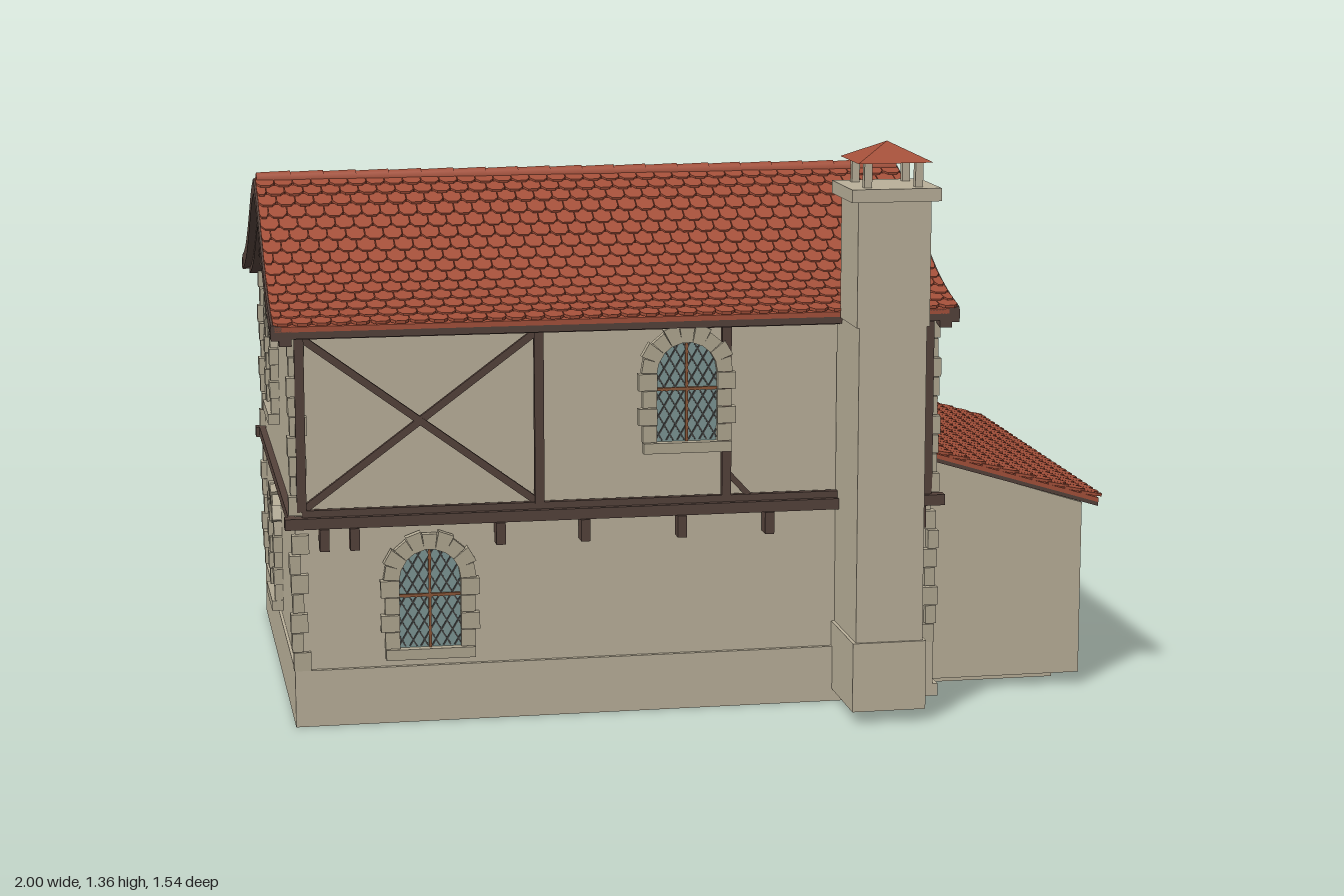
import * as THREE from 'three';
import { mergeGeometries } from 'three/addons/utils/BufferGeometryUtils.js';

const V2 = (x, y) => new THREE.Vector2(x, y);
const paint = (name, color) => Object.assign(new THREE.MeshStandardMaterial({ color }), { name });

export function createModel() {
  const plaster = paint('plaster', 0xb9af99), stone = paint('stone', 0xb0a791), tile = paint('roof tile', 0xa4503a);
  const timber = paint('timber', 0x54423b), wood = paint('door wood', 0x83502f), dark = paint('dark wood', 0x593f38);
  const deck = paint('deck boards', 0x85583c), glass = paint('glass', 0x7c9694), iron = paint('iron', 0x40403f);
  const frame = paint('window frame', 0x8a5638);
  const house = new THREE.Group();
  house.name = 'house';

  // ---- helpers ----
  const add = (parent, name, geo, mat, x = 0, y = 0, z = 0) => {
    const m = new THREE.Mesh(geo, mat);
    m.name = name;
    m.position.set(x, y, z);
    parent.add(m);
    return m;
  };
  const group = (parent, name, x = 0, y = 0, z = 0, ry = 0) => {
    const g = new THREE.Group();
    g.name = name;
    g.position.set(x, y, z);
    g.rotation.y = ry;
    parent.add(g);
    return g;
  };
  // box given by its limits
  const span = (parent, name, mat, x0, x1, y0, y1, z0, z1) =>
    add(parent, name, new THREE.BoxGeometry(x1 - x0, y1 - y0, z1 - z0), mat, (x0 + x1) / 2, (y0 + y1) / 2, (z0 + z1) / 2);
  // straight bar between two points of a wall plane
  const bar = (parent, name, mat, x0, y0, x1, y1, t, z0, z1) => {
    const m = add(parent, name, new THREE.BoxGeometry(Math.hypot(x1 - x0, y1 - y0), t, z1 - z0), mat,
      (x0 + x1) / 2, (y0 + y1) / 2, (z0 + z1) / 2);
    m.rotation.z = Math.atan2(y1 - y0, x1 - x0);
    return m;
  };
  const extrude = (pts, depth) => new THREE.ExtrudeGeometry(new THREE.Shape(pts), { depth, bevelEnabled: false });
  // (z, y) profile extruded along x from x0 to x1
  const alongX = (pts, x0, x1) => extrude(pts, x1 - x0).rotateY(Math.PI / 2).translate(x0, 0, 0);

  // ---- main roof curve: distance from ridge, height ----
  const slope = new THREE.SplineCurve([V2(0, 1.222), V2(0.1, 1.182), V2(0.2, 1.122), V2(0.3, 1.062), V2(0.4, 1.012),
    V2(0.5, 0.977), V2(0.6, 0.953)]);
  const half = slope.getPoints(18);
  const ridgeLine = [...half.slice(1).reverse().map(p => V2(-p.x, p.y)), ...half];
  const band = (pts, top, bottom) => [...pts.map(p => V2(p.x, p.y + top)), ...pts.slice().reverse().map(p => V2(p.x, p.y + bottom))];

  // staggered shingles over a slope curve, width along x, falling towards +z
  const shingles = (curve, width, rows, cols) => {
    const step = curve.getLength() / rows, w = width / cols, l = step * 1.25, list = [];
    const one = extrude([V2(-0.48 * w, 0), V2(-0.48 * w, -0.72 * l), V2(-0.25 * w, -l), V2(0.25 * w, -l), V2(0.48 * w, -0.72 * l), V2(0.48 * w, 0)], 0.007)
      .rotateX(-Math.PI / 2 - 0.1);
    for (let r = 0; r < rows; r++) {
      const u = r / rows, p = curve.getPointAt(u), t = curve.getTangentAt(Math.min(1, u + 0.4 / rows));
      for (let c = 0; c <= cols - 1 + (r % 2); c++) {
        const a = Math.max(0, c - (r % 2) / 2), b = Math.min(cols, c + 1 - (r % 2) / 2);
        const m = new THREE.Matrix4().makeBasis(new THREE.Vector3(b - a, 0, 0), new THREE.Vector3(0, t.x, -t.y), new THREE.Vector3(0, t.y, t.x));
        m.setPosition((a + b) / 2 * w - width / 2, p.y, p.x);
        list.push(one.clone().applyMatrix4(m));
      }
    }
    return mergeGeometries(list);
  };

  // ---- walls ----
  const inner = ridgeLine.filter(p => Math.abs(p.x) < 0.557).map(p => V2(p.x, p.y - 0.02));
  add(house, 'mainWalls', alongX([V2(-0.557, 0.01), V2(0.557, 0.01), ...inner.reverse()], -0.945, 0.575), plaster, 0, 0, -0.021);
  span(house, 'plinth', plaster, -0.952, 0.582, 0.03, 0.135, -0.588, 0.544);
  span(house, 'foundation', plaster, -0.952, 0.595, 0, 0.03, -0.6, 0.544);
  add(house, 'annexWalls', extrude([V2(0.56, 0.03), V2(0.962, 0.03), V2(0.962, 0.455), V2(0.56, 0.58)], 0.99), plaster, 0, 0, -0.49);
  span(house, 'annexFooting', plaster, 0.58, 0.91, 0.008, 0.03, -0.5, 0.45);

  // ---- main roof ----
  const roof = group(house, 'mainRoof', 0, 0, -0.02);
  add(roof, 'roofSheet', alongX(band(ridgeLine, 0, -0.012), -0.985, 0.615), tile);
  add(roof, 'roofBoards', alongX(band(ridgeLine, -0.012, -0.024), -0.98, 0.61), timber);
  for (const [name, ry] of [['frontTiles', 0], ['backTiles', Math.PI]]) {
    const g = group(roof, name, -0.185, 0, 0, ry);
    add(g, name, shingles(slope, 1.61, 15, 36), tile);
    span(g, 'eavesBeam', timber, -0.81, 0.81, 0.925, 0.951, 0.565, 0.6);
  }
  for (let i = 0; i < 20; i++) {
    add(roof, 'ridgeTile', new THREE.CylinderGeometry(0.019, 0.022, 0.083, 8, 1, false).rotateZ(Math.PI / 2), tile, -0.945 + i * 0.08, 1.222, 0);
  }
  // barge boards and gable truss on both ends
  const arch = [];
  for (let i = -10; i <= 10; i++) arch.push(V2(i * 0.0345, 0.98 + 0.2 * Math.cos(Math.PI / 20 * i)));
  for (const [x, s, wall] of [[0.612, 1, 0.575], [-0.982, -1, -0.945]]) {
    const g = group(roof, 'gableTrim');
    const slab = (pts, a, b) => alongX(pts, Math.min(a, b), Math.max(a, b));
    add(g, 'bargeBoard', slab(band(ridgeLine, 0.004, -0.032), x - s * 0.012, x + s * 0.012), timber);
    add(g, 'innerBargeBoard', slab(band(ridgeLine, -0.01, -0.045), x - s * 0.035, x - s * 0.006), timber);
    add(g, 'trussArch', slab(band(arch, 0.01, -0.01), wall - s * 0.005, wall + s * 0.02), timber);
    const [a, b] = [wall - 0.02, wall + 0.02];
    span(g, 'trussTie', timber, a, b, 0.972, 0.992, -0.345, 0.345);
    span(g, 'trussPost', timber, a, b, 0.98, 1.19, -0.01, 0.01);
  }

  // ---- annex roof ----
  const lean = new THREE.LineCurve(V2(0.575, 0.598), V2(0.99, 0.472));
  const annexRoof = group(house, 'annexRoof', 0, 0, 0, Math.PI / 2);
  add(annexRoof, 'annexTiles', shingles(lean, 1.07, 10, 25), tile);
  const line = [V2(0.57, 0.599), V2(0.993, 0.471)];
  const annexSlab = (name, mat, top, bottom, w) => add(house, name, extrude(band(line, top, bottom).reverse(), w), mat, 0, 0, -w / 2);
  annexSlab('annexSheet', tile, 0.001, -0.01, 1.066);
  annexSlab('annexBoards', timber, -0.01, -0.02, 1.06);

  // ---- chimney ----
  const ch = group(house, 'chimney', 0.42, 0, 0.668);
  span(ch, 'chimneyBase', plaster, -0.088, 0.088, 0.03, 0.195, -0.14, 0.086);
  span(ch, 'chimneyShaft', plaster, -0.08, 0.08, 0.195, 0.94, -0.14, 0.08);
  span(ch, 'chimneyTop', plaster, -0.086, 0.086, 0.94, 1.235, -0.083, 0.083);
  span(ch, 'chimneyCap', plaster, -0.105, 0.105, 1.232, 1.262, -0.1, 0.1);
  for (const x of [-0.06, 0.06]) for (const z of [-0.06, 0.06]) span(ch, 'capPost', plaster, x - 0.009, x + 0.009, 1.26, 1.322, z - 0.009, z + 0.009);
  add(ch, 'chimneyRoof', new THREE.ConeGeometry(0.125, 0.043, 4).toNonIndexed().rotateY(Math.PI / 4), tile, 0, 1.341, 0)
    .geometry.computeVertexNormals();

  // ---- corner stones ----
  for (const x of [-0.945, 0.575]) for (const z of [-0.578, 0.536]) {
    for (let i = 0; i < 17; i++) {
      const y = 0.135 + i * 0.0465;
      if (y > 0.44 && y < 0.5) continue;
      const a = i % 2 ? 0.026 : 0.04, b = i % 2 ? 0.04 : 0.026, o = 0.009 + (i * 7 % 3) * 0.003;
      const sx = Math.sign(x), sz = Math.sign(z);
      add(house, 'cornerStone', new THREE.BoxGeometry(a, 0.044, b), stone, x + sx * (o - a / 2), y + 0.022, z + sz * (o - b / 2));
    }
  }

  // ---- wall faces; local +z points outwards ----
  const front = group(house, 'frontWall', 0, 0, 0.536);
  const back = group(house, 'backWall', 0, 0, -0.578, Math.PI);
  const gable = group(house, 'endWall', -0.945, 0, 0, -Math.PI / 2);
  const annexBack = group(house, 'annexBackWall', 0, 0, -0.49, Math.PI);

  // arched opening with stone surround; returns its group
  const opening = (wall, name, x, y, hw, rise, fill, rim = 0.04, deep = 0.02) => {
    const g = group(wall, name, x, y, 0), s = new THREE.Shape();
    s.moveTo(-hw, 0).lineTo(hw, 0).lineTo(hw, rise).absarc(0, rise, hw, 0, Math.PI).lineTo(-hw, 0);
    add(g, name + 'Panel', new THREE.ExtrudeGeometry(s, { depth: 0.006, bevelEnabled: false, curveSegments: 12 }), fill);
    const n = 9, at = (r, i) => V2(r * Math.cos(Math.PI * i / n), rise + r * Math.sin(Math.PI * i / n));
    for (let i = 0; i < n; i++) {
      const R = hw + rim + (i % 2 ? 0.004 : -0.003);
      add(g, 'archStone', extrude([at(hw, i), at(R, i + 0.03), at(R, i + 0.97), at(hw, i + 1)], deep + (i % 2) * 0.003), stone);
    }
    const k = Math.round(rise / 0.045);
    for (const sd of [-1, 1]) for (let i = 0; i < k; i++) {
      const o = hw + rim + (i % 2 ? 0.004 : -0.006);
      span(g, 'jambStone', stone, Math.min(sd * hw, sd * o), Math.max(sd * hw, sd * o), i * rise / k + 0.001, (i + 1) * rise / k - 0.001, 0, deep + (i % 2) * 0.003);
    }
    return g;
  };
  const windowAt = (wall, x, y, shutters) => {
    const hw = 0.072, rise = 0.165, g = opening(wall, 'window', x, y, hw, rise, glass);
    span(g, 'sill', stone, -0.105, 0.105, -0.025, 0, 0, 0.028);
    const inside = (a, b) => Math.abs(a) <= hw && b >= 0 && (b <= rise || Math.hypot(a, b - rise) <= hw);
    // diagonal leading, clipped to the arch
    for (const d of [-1, 1]) for (let c = -0.14; c < 0.4; c += 0.045) {
      const hit = [];
      for (let i = 0; i <= 60; i++) {
        const a = -hw + 2 * hw * i / 60, b = c + d * 1.7 * a;
        if (inside(a, b)) hit.push([a, b]);
      }
      if (hit.length > 3) bar(g, 'leading', iron, ...hit[0], ...hit[hit.length - 1], 0.0035, 0.005, 0.009);
    }
    span(g, 'mullion', frame, -0.003, 0.003, 0, rise + hw, 0.006, 0.011);
    span(g, 'transom', frame, -hw, hw, 0.122, 0.129, 0.006, 0.012);
    if (shutters) for (const s of [-1, 1]) {
      const h = group(g, 'shutter', s * 0.11, 0, 0.018, -s * 0.3);
      span(h, 'shutterLeaf', dark, Math.min(0, s * 0.082), Math.max(0, s * 0.082), 0, 0.22, 0, 0.01);
      for (const y of [0.03, 0.18]) span(h, 'shutterBatten', dark, Math.min(s * 0.005, s * 0.077), Math.max(s * 0.005, s * 0.077), y, y + 0.015, 0.01, 0.014);
    }
  };
  const doorAt = (wall, x, y, hw, rise, mat, rim, deep) => {
    const g = opening(wall, 'door', x, y, hw, rise, mat, rim, deep);
    for (let i = -2; i <= 2; i++) span(g, 'plankGap', iron, i * hw / 3 - 0.0008, i * hw / 3 + 0.0008, 0, rise + hw * 0.72, 0.006, 0.007);
    for (const f of [0.28, 0.85]) span(g, 'hingeStrap', iron, -hw, hw * 0.45, rise * f, rise * f + 0.009, 0.006, 0.011);
    add(g, 'doorHandle', new THREE.TorusGeometry(0.011, 0.003, 6, 12), iron, hw * 0.7, rise * 0.55, 0.011);
    return g;
  };

  windowAt(front, -0.635, 0.18);
  windowAt(front, -0.025, 0.65);
  windowAt(gable, -0.07, 0.65);
  windowAt(gable, -0.07, 0.18);
  windowAt(back, -0.31, 0.65, true);
  windowAt(back, -0.31, 0.18, true);
  windowAt(back, 0.64, 0.18, true);
  const mainDoor = doorAt(back, 0.12, 0.03, 0.1, 0.24, wood, 0.043, 0.024);
  for (const s of [-1, 1]) {
    span(mainDoor, 'doorPier', stone, s * 0.125 - 0.023, s * 0.125 + 0.023, -0.02, 0.2, 0, 0.03);
    span(mainDoor, 'pierCap', stone, s * 0.125 - 0.028, s * 0.125 + 0.028, 0.2, 0.222, 0, 0.036);
  }
  doorAt(back, 0.61, 0.5, 0.1, 0.285, wood, 0.04, 0.02);
  doorAt(annexBack, -0.765, 0.03, 0.105, 0.265, dark, 0.04, 0.025);

  // ---- timber framing ----
  const framing = (wall, m, posts, joists, cross) => {
    const g = group(wall, 'timberFrame');
    const x = v => m * v;
    span(g, 'floorBeam', timber, Math.min(x(-0.97), x(0.6)), Math.max(x(-0.97), x(0.6)), 0.476, 0.502, 0, 0.03);
    span(g, 'soleBeam', timber, Math.min(x(-0.93), x(0.57)), Math.max(x(-0.93), x(0.57)), 0.502, 0.518, 0, 0.016);
    span(g, 'topBeam', timber, Math.min(x(-0.94), x(0.57)), Math.max(x(-0.94), x(0.57)), 0.92, 0.948, 0, 0.022);
    for (const p of posts) span(g, 'post', timber, x(p) - 0.011, x(p) + 0.011, 0.515, 0.925, 0, 0.018);
    for (const [a, b] of cross) {
      bar(g, 'brace', timber, x(a), 0.522, x(b), 0.918, 0.017, 0, 0.012);
      bar(g, 'brace', timber, x(a), 0.918, x(b), 0.522, 0.017, 0, 0.014);
    }
    for (const j of joists) span(g, 'joistEnd', timber, x(j) - 0.011, x(j) + 0.011, 0.425, 0.477, 0, 0.04);
    bar(g, 'cornerBrace', timber, x(0.5), 0.515, x(0.555), 0.575, 0.014, 0, 0.012);
    bar(g, 'cornerBrace', timber, x(0.5), 0.925, x(0.555), 0.865, 0.014, 0, 0.012);
    bar(g, 'cornerBrace', timber, x(0.125), 0.515, x(0.07), 0.575, 0.014, 0, 0.012);
  };
  framing(front, 1, [-0.93, -0.375, 0.07, 0.56], [-0.88, -0.81, -0.47, -0.27, -0.04, 0.17, 0.54], [[-0.92, -0.385]]);
  framing(back, -1, [-0.93, -0.38, 0.06, 0.545], [-0.9, -0.28, -0.2, 0.04, 0.12, 0.22, 0.42, 0.5], [[-0.37, 0.05]]);
  span(gable, 'endFloorBeam', timber, -0.59, 0.55, 0.478, 0.502, 0, 0.016);

  // ---- balcony ----
  const bal = group(back, 'balcony', 0.602, 0, 0);
  for (let i = 0; i < 5; i++) span(bal, 'deckBoard', deck, -0.248, 0.248, 0.482, 0.498, 0.02 + i * 0.0345, 0.0535 + i * 0.0345);
  for (const x of [-0.2, -0.07, 0.07, 0.2]) {
    add(bal, 'bracket', alongX([V2(0, 0.425), V2(0, 0.482), V2(-0.165, 0.482), V2(-0.165, 0.468), V2(-0.06, 0.44)], x - 0.012, x + 0.012), timber);
  }
  const rail = (parent, length, panels, z) => {
    const w = length / panels;
    for (const y of [0.535, 0.647]) span(parent, 'rail', timber, -length / 2, length / 2, y - 0.006, y + 0.006, z - 0.006, z + 0.006);
    for (let i = 0; i <= panels; i++) span(parent, 'railPost', timber, i * w - length / 2 - 0.006, i * w - length / 2 + 0.006, 0.498, 0.652, z - 0.006, z + 0.006);
    for (let i = 0; i < panels; i++) {
      const a = i * w - length / 2;
      bar(parent, 'railBrace', timber, a, 0.537, a + w, 0.645, 0.007, z - 0.003, z + 0.003);
      if (panels > 1) bar(parent, 'railBrace', timber, a, 0.645, a + w, 0.537, 0.007, z - 0.003, z + 0.003);
    }
  };
  rail(bal, 0.47, 4, 0.175);
  for (const s of [-1, 1]) rail(group(bal, 'sideRail', s * 0.235, 0, 0.095, -Math.PI / 2), 0.16, 1, 0);

  return house;
}
